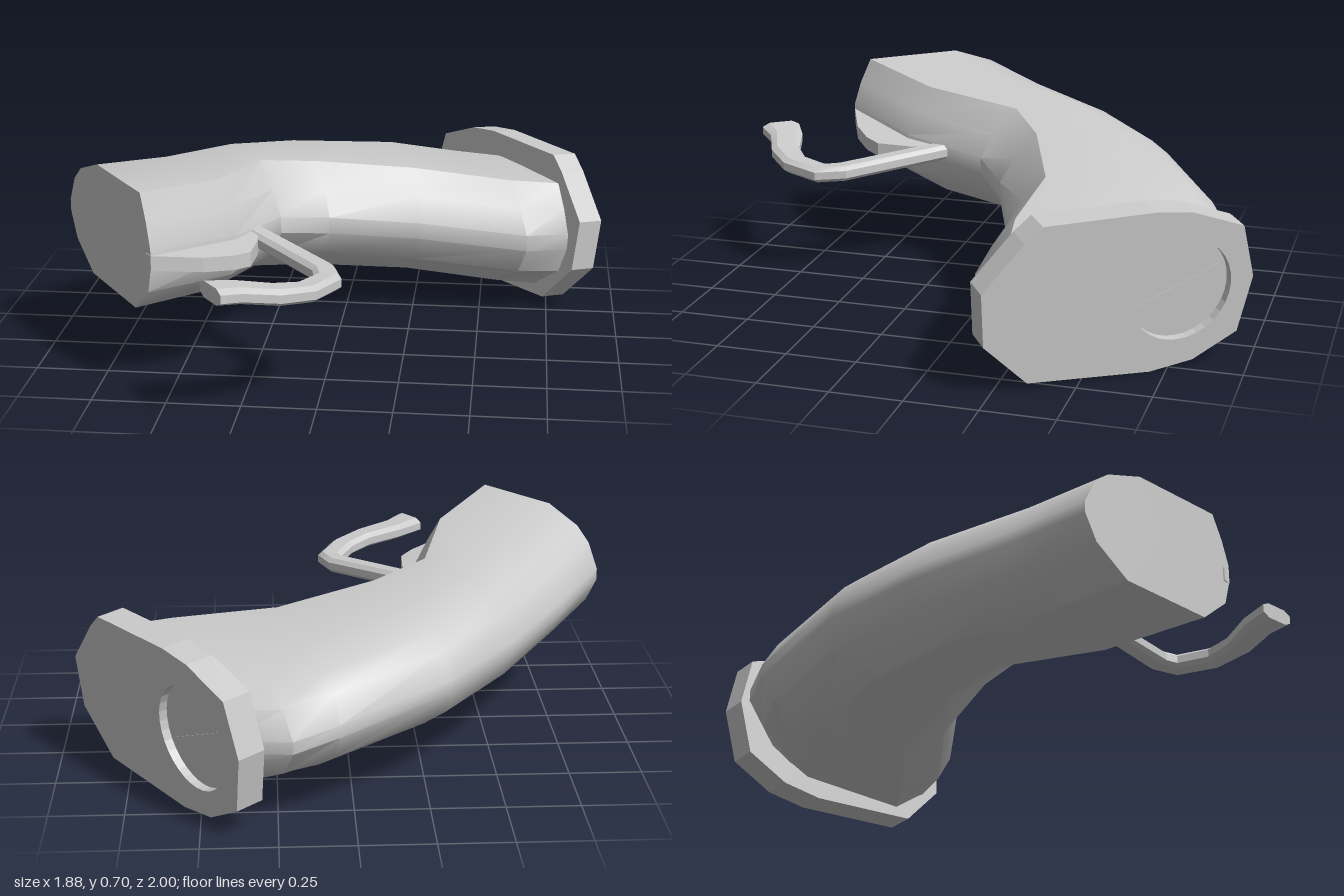
import * as THREE from 'three';
import { toCreasedNormals } from 'three/addons/utils/BufferGeometryUtils.js';

const V = (x, y, z) => new THREE.Vector3(x, y, z);
const mat = new THREE.MeshStandardMaterial({ color: 0xcccccc });
const thin = new THREE.MeshStandardMaterial({ color: 0xcccccc, side: THREE.DoubleSide });

function mesh(name, geometry, material = mat) {
  const m = new THREE.Mesh(geometry, material);
  m.name = name;
  return m;
}

// Skin between rings of points, closed by a fan at both ends
function loft(rings, crease) {
  const pos = [];
  const tri = (...pts) => pts.forEach((p) => pos.push(p.x, p.y, p.z));
  const n = rings[0].length;
  for (let i = 0; i < rings.length - 1; i++) {
    for (let j = 0; j < n; j++) {
      const k = (j + 1) % n;
      const [a, b, c, d] = [rings[i][j], rings[i][k], rings[i + 1][k], rings[i + 1][j]];
      tri(a, b, d);
      tri(b, c, d);
    }
  }
  [rings[0], rings[rings.length - 1]].forEach((ring, end) => {
    const mid = V(0, 0, 0);
    ring.forEach((p) => mid.addScaledVector(p, 1 / n));
    ring.forEach((p, j) => {
      const q = ring[(j + 1) % n];
      if (end) tri(mid, p, q);
      else tri(mid, q, p);
    });
  });
  const g = new THREE.BufferGeometry();
  g.setAttribute('position', new THREE.Float32BufferAttribute(pos, 3));
  return toCreasedNormals(g, crease);
}

// Curved grip: outer x, outer z, inner x, inner z, centre height, inner shoulder
function makeGrip() {
  const stations = [
    [-0.94, 0.17, -0.54, 0.72, 0.495, 0.9],
    [-0.78, -0.06, -0.31, 0.42, 0.455, 0.86],
    [-0.56, -0.37, -0.2, 0.1, 0.42, 0.76],
    [-0.33, -0.62, -0.04, -0.02, 0.385, 0.8],
    [0.05, -0.86, 0.28, -0.14, 0.335, 0.83],
    [0.2, -0.905, 0.67, -0.14, 0.3, 0.85],
    [0.41, -0.85, 0.82, -0.22, 0.285, 0.9],
  ];
  const rings = stations.map(([ox, oz, ix, iz, y, k]) => {
    const side = 1 - (1 - k) * 0.4;
    const profile = [
      [0, -0.1], [0, 0.1], [0.07, 0.52], [0.16, 0.76], [0.38, 1], [k, 0.97], [side, 0.55],
      [1, 0.14], [1, -0.14], [side, -0.58], [k - 0.1, -1], [0.27, -0.95], [0.07, -0.52],
    ];
    return profile.map(([u, v]) => V(ox + (ix - ox) * u, y + v * 0.212, oz + (iz - oz) * u));
  });
  return mesh('grip', loft(rings, 0.55));
}

// Hooked finger guard swept along a flat curl: x, y, z, half width
function makeHook() {
  const path = [
    [-0.34, 0.45, 0.2, 0.035], [-0.24, 0.44, 0.31, 0.037], [0.003, 0.417, 0.57, 0.042],
    [0.026, 0.412, 0.645, 0.047], [-0.03, 0.42, 0.77, 0.048], [-0.115, 0.435, 0.842, 0.052],
    [-0.235, 0.455, 0.886, 0.06], [-0.308, 0.468, 0.94, 0.072],
  ];
  const rings = path.map(([x, y, z, w], i) => {
    const a = path[Math.max(i - 1, 0)], b = path[Math.min(i + 1, path.length - 1)];
    const dx = b[0] - a[0], dz = b[2] - a[2], len = Math.hypot(dx, dz);
    return [[-1, -0.5], [-1, 0.5], [-0.6, 1], [0.6, 1], [1, 0.5], [1, -0.5], [0.6, -1], [-0.6, -1]]
      .map(([u, v]) => V(x - (dz / len) * u * w, y + v * 0.028, z + (dx / len) * u * w));
  });
  return mesh('fingerHook', loft(rings, 0.4));
}

// Flat rounded fin that fills the hollow beside the hook
function makeFin() {
  const shape = new THREE.Shape([
    [-0.56, 0.7], [-0.54, 0.72], [-0.38, 0.65], [-0.29, 0.58], [-0.245, 0.52], [-0.24, 0.4], [-0.25, 0.3], [-0.35, 0.3],
  ].map(([x, z]) => new THREE.Vector2(x, -z)));
  const g = new THREE.ExtrudeGeometry(shape, { depth: 0.05, bevelEnabled: false });
  g.rotateX(-Math.PI / 2);
  const p = g.attributes.position;
  for (let i = 0; i < p.count; i++) p.setY(i, p.getY(i) + 0.455 - 0.15 * (p.getX(i) + 0.54));
  g.computeVertexNormals();
  return mesh('innerFin', g);
}

// Tilted end plate with a round recess and a slot
function makeEndPlate() {
  const group = new THREE.Group();
  group.name = 'endPlate';
  const onPlane = (z, y) => V(0.94 + 0.74 * (z + 0.24) + 0.12 * (y - 0.365), y, z);
  const n = V(1, -0.12, -0.74).normalize();
  const up = V(0, 1, 0).addScaledVector(n, -n.y).normalize();
  const side = up.clone().cross(n);
  const origin = onPlane(-0.79, 0.29);
  const local = ([z, y]) => {
    const d = onPlane(z, y).sub(origin);
    return new THREE.Vector2(d.dot(side), d.dot(up));
  };
  const shape = new THREE.Shape([
    [-0.41, 0.57], [-0.36, 0.52], [-0.24, 0.365], [-0.24, 0.18], [-0.355, 0.03], [-0.7, 0.005],
    [-0.825, 0.027], [-0.955, 0.11], [-1, 0.305], [-0.97, 0.49], [-0.825, 0.557], [-0.72, 0.573],
  ].map(local));
  const hole = new THREE.Path();
  hole.absarc(0, 0, 0.18, 0, Math.PI * 2, true);
  shape.holes.push(hole);
  const plate = mesh('plate', new THREE.ExtrudeGeometry(shape, { depth: 0.1, bevelEnabled: false, curveSegments: 16 }));
  plate.position.z = -0.1;

  const disc = mesh('recessDisc', new THREE.CylinderGeometry(0.182, 0.182, 0.06, 32));
  disc.rotation.x = Math.PI / 2;
  disc.position.z = -0.06;

  const ends = [local([-0.69, 0.22]), local([-0.93, 0.34])];
  const slot = mesh('slot', new THREE.BoxGeometry(ends[0].distanceTo(ends[1]), 0.006, 0.004), thin);
  slot.position.z = -0.03;
  slot.rotation.z = Math.atan2(ends[1].y - ends[0].y, ends[1].x - ends[0].x);

  group.add(plate, disc, slot);
  group.quaternion.setFromRotationMatrix(new THREE.Matrix4().makeBasis(side, up, n));
  group.position.copy(origin);
  return group;
}

export function createModel() {
  const model = new THREE.Group();
  model.name = 'curvedHandle';
  model.add(makeGrip(), makeHook(), makeFin(), makeEndPlate());
  return model;
}
